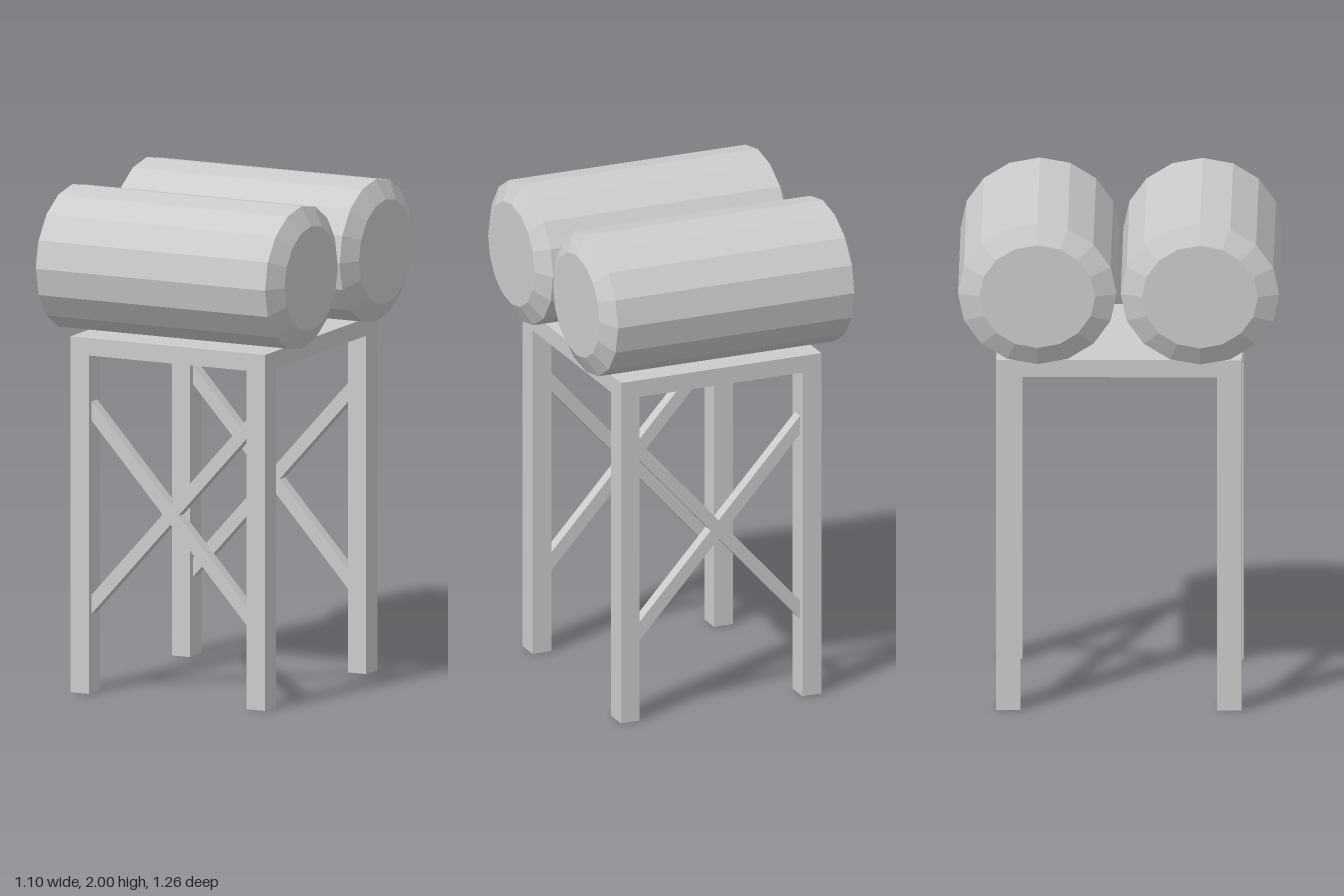
import * as THREE from 'three';

export function createModel() {
  const group = new THREE.Group();
  const metal = new THREE.MeshStandardMaterial({ color: 0xcccccc });
  metal.name = 'pale grey metal';

  const add = (geometry, name, x, y, z) => {
    const mesh = new THREE.Mesh(geometry, metal);
    mesh.name = name;
    mesh.position.set(x, y, z);
    group.add(mesh);
  };

  // Two faceted tanks lying along x, with bevelled ends and a slightly oval section
  const profile = [[0, -0.55], [0.73, -0.55], [1, -0.507], [1, 0.507], [0.73, 0.55], [0, 0.55]]
    .map(([r, h]) => new THREE.Vector2(r, h));
  const tank = new THREE.LatheGeometry(profile, 16)
    .rotateZ(Math.PI / 2)
    .scale(1, 0.286, 0.312)
    .toNonIndexed();
  tank.computeVertexNormals();

  // Crossed brace bar: a parallelogram that meets the legs with vertical ends
  const brace = (side) => {
    const x = 0.35, rise = 0.388 * side, half = 0.038;
    const shape = new THREE.Shape([
      new THREE.Vector2(-x, -rise - half),
      new THREE.Vector2(x, rise - half),
      new THREE.Vector2(x, rise + half),
      new THREE.Vector2(-x, -rise + half),
    ]);
    return new THREE.ExtrudeGeometry(shape, { depth: 0.05, bevelEnabled: false }).translate(0, 0, -0.025);
  };

  // Platform under the tanks
  add(new THREE.BoxGeometry(0.86, 0.07, 0.966), 'platform', 0, 1.39, 0);

  for (const z of [1, -1]) {
    const end = z > 0 ? 'front' : 'back';
    add(tank, end + 'Tank', 0, 1.714, z * 0.32);
    for (const x of [1, -1]) {
      const side = x > 0 ? 'Left' : 'Right';
      add(new THREE.BoxGeometry(0.081, 1.355, 0.096), end + side + 'Leg', x * 0.3895, 0.6775, z * 0.435);
      add(brace(x), end + (x > 0 ? 'Rising' : 'Falling') + 'Brace', 0, 0.742, z * 0.435);
    }
  }
  return group;
}
